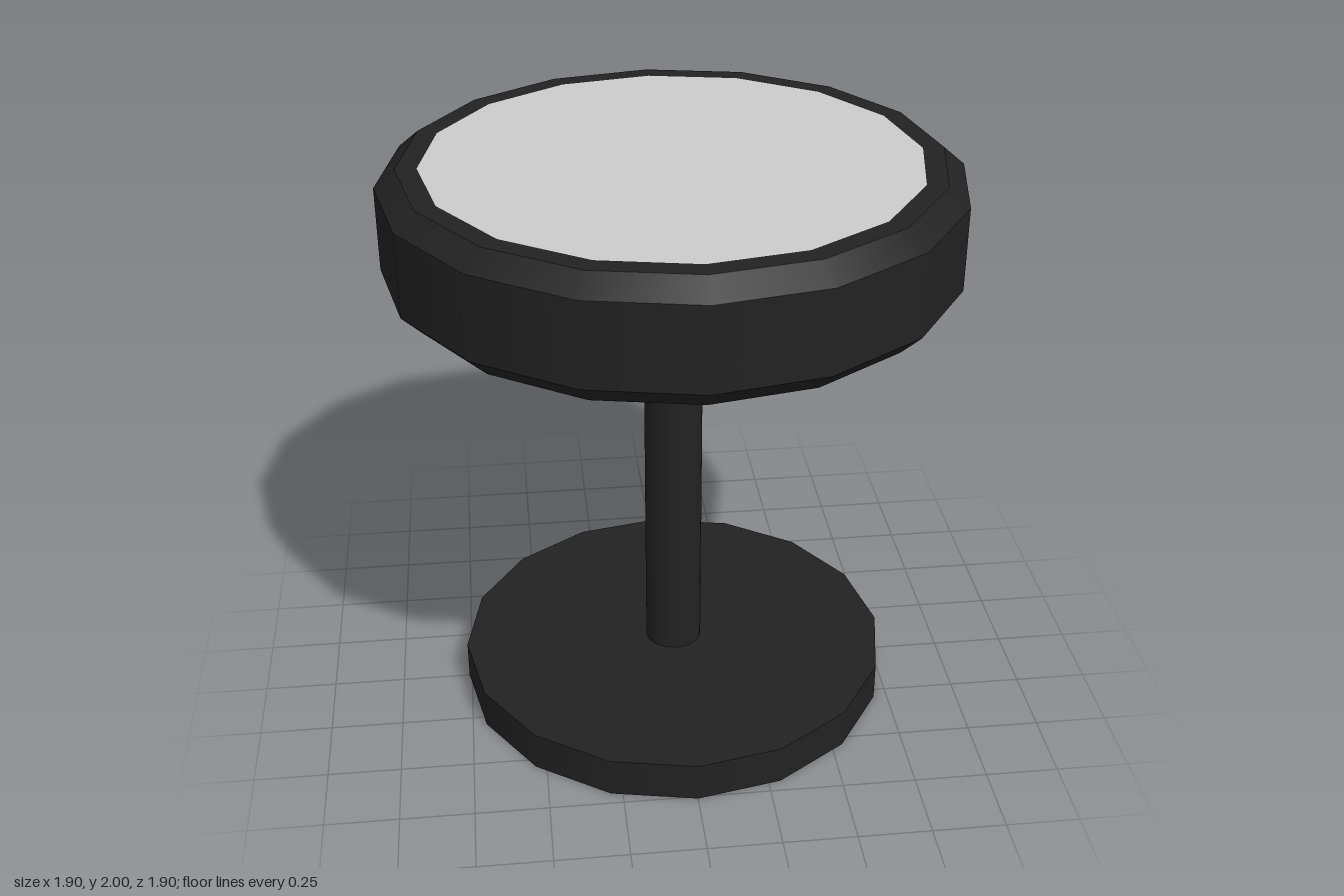
import * as THREE from 'three';

const SIDES = 16;

export function createModel() {
  const model = new THREE.Group();
  const dark = new THREE.MeshStandardMaterial({ color: 0x222222 });
  const grey = new THREE.MeshStandardMaterial({ color: 0xcccccc });

  const add = (name, geometry, material, parent = model) => {
    const mesh = new THREE.Mesh(geometry, material);
    mesh.name = name;
    parent.add(mesh);
    return mesh;
  };
  // Cylinder or cone section spanning y0 to y1
  const section = (r0, y0, r1, y1, sides = SIDES, open = false) =>
    new THREE.CylinderGeometry(r1, r0, y1 - y0, sides, 1, open).translate(0, (y0 + y1) / 2, 0);

  // Foot plate and post
  add('base', section(0.76, 0, 0.76, 0.14), dark);
  add('post', section(0.1, 0.14, 0.1, 1.59, 32, true), dark);

  // Chamfered rim: separate bands keep the edges crisp
  const rim = new THREE.Group();
  rim.name = 'rim';
  model.add(rim);
  const profile = [[0.88, 1.59], [0.95, 1.66], [0.95, 1.94], [0.88, 2]];
  ['lowerChamfer', 'rimSide', 'upperChamfer'].forEach((name, i) => {
    add(name, section(...profile[i], ...profile[i + 1], SIDES, true), dark, rim);
  });
  add('rimTop', new THREE.RingGeometry(0.81, 0.88, SIDES).rotateX(-Math.PI / 2).translate(0, 2, 0), dark, rim);

  // Flush top panel and underside
  add('topPanel', new THREE.CircleGeometry(0.81, SIDES).rotateX(-Math.PI / 2).translate(0, 2, 0), grey);
  add('underside', new THREE.CircleGeometry(0.88, SIDES).rotateX(Math.PI / 2).translate(0, 1.59, 0), grey);

  return model;
}
